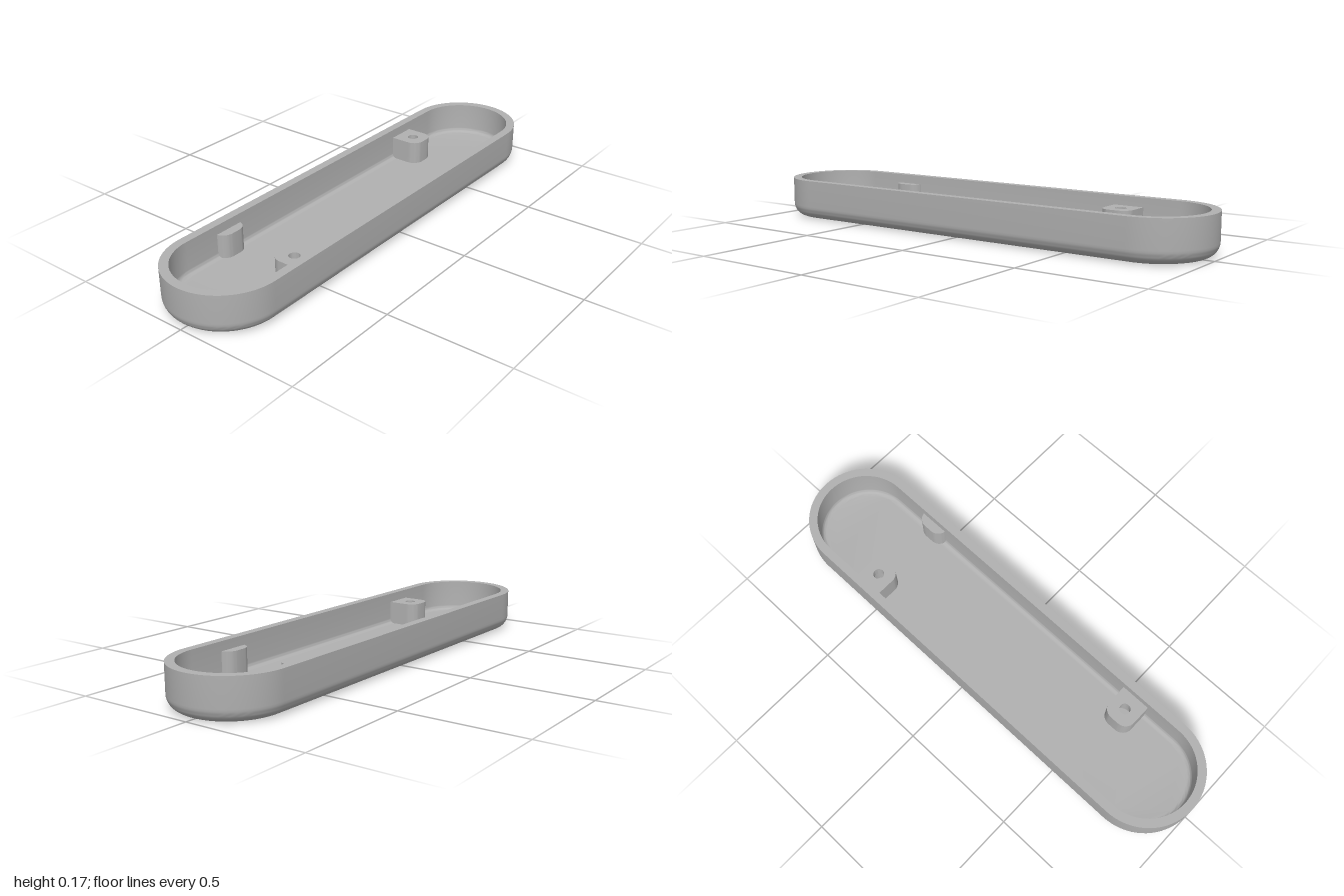
import * as THREE from 'three';
import { mergeGeometries, toCreasedNormals } from 'three/addons/utils/BufferGeometryUtils.js';

const HEIGHT = 0.168, RADIUS = 0.23, STRAIGHT = 0.77, WALL = 0.035;
const FILLET = 0.055, FLOOR = 0.033, INNER_FILLET = 0.02;
const BOSS_TOP = 0.13, HOLE_X = 0.13, HOLE_Z = 0.557;
const BORE_R = 0.042, SCREW_R = 0.022, BORE_TOP = 0.09;

// Points of an arc in plan (second coordinate is -z)
function arc(cx, cy, r, from, to, n) {
  return Array.from({ length: n + 1 }, (_, i) => {
    const a = from + ((to - from) * i) / n;
    return new THREE.Vector2(cx + r * Math.cos(a), cy + r * Math.sin(a));
  });
}

// Long plan outline with round ends
const stadium = (r) => [
  ...arc(0, STRAIGHT, r, 0, Math.PI, 36),
  ...arc(0, -STRAIGHT, r, Math.PI, 2 * Math.PI, 36),
];

// Plan outline of a block that grows from the +x wall to a rounded tip
function blockOutline(tip, r, z) {
  const h = 0.0625, y = -z;
  return [
    new THREE.Vector2(0.21, y - h),
    new THREE.Vector2(0.21, y + h),
    ...arc(tip + r, y + h - r, r, Math.PI / 2, Math.PI, 10),
    ...arc(tip + r, y - h + r, r, Math.PI, 1.5 * Math.PI, 10),
  ];
}

// Skin through closed loops given as [plan points, height]
function loft(loops) {
  const n = loops[0][0].length, pos = [], index = [];
  for (const [pts, y] of loops) for (const p of pts) pos.push(p.x, y, -p.y);
  for (let j = 0; j < loops.length - 1; j++) {
    for (let i = 0; i < n; i++) {
      const a = j * n + i, b = j * n + ((i + 1) % n);
      index.push(a, b, b + n, a, b + n, a + n);
    }
  }
  const g = new THREE.BufferGeometry();
  g.setAttribute('position', new THREE.Float32BufferAttribute(pos, 3));
  g.setIndex(index);
  return g;
}

// Flat face with round holes, facing up or down
function cap(points, y, holes, down = false) {
  const shape = new THREE.Shape(points);
  for (const [x, z, r] of holes) {
    shape.holes.push(new THREE.Path(arc(x, -z, r, 0, 2 * Math.PI, 32).slice(0, -1)));
  }
  const g = new THREE.ShapeGeometry(shape);
  g.rotateX(-Math.PI / 2).translate(0, y, 0);
  g.deleteAttribute('uv');
  g.deleteAttribute('normal');
  if (down) {
    const ix = g.index.array;
    for (let i = 0; i < ix.length; i += 3) [ix[i], ix[i + 1]] = [ix[i + 1], ix[i]];
  }
  return g;
}

export function createModel() {
  const model = new THREE.Group();
  model.name = 'tray';
  const grey = new THREE.MeshStandardMaterial({ color: 0xb0b0b0 });
  grey.name = 'plain grey';
  const add = (parent, name, parts) => {
    const mesh = new THREE.Mesh(toCreasedNormals(mergeGeometries(parts), 0.6), grey);
    mesh.name = name;
    parent.add(mesh);
  };

  // Tray: outer fillet, wall, rim, inner wall, inner fillet
  const profile = [];
  for (let i = 0; i <= 10; i++) {
    const a = (i / 10) * Math.PI / 2;
    profile.push([RADIUS - FILLET + FILLET * Math.sin(a), FILLET * (1 - Math.cos(a))]);
  }
  profile.push([RADIUS, HEIGHT], [RADIUS - WALL, HEIGHT]);
  const inner = RADIUS - WALL - INNER_FILLET;
  for (let i = 0; i <= 6; i++) {
    const a = (i / 6) * Math.PI / 2;
    profile.push([inner + INNER_FILLET * Math.cos(a), FLOOR + INNER_FILLET * (1 - Math.sin(a))]);
  }
  const bores = [[HOLE_X, HOLE_Z, BORE_R], [-HOLE_X, -HOLE_Z, BORE_R]];
  add(model, 'trayShell', [
    loft(profile.map(([r, y]) => [stadium(r), y])),
    cap(stadium(RADIUS - FILLET), 0, bores, true),
    cap(stadium(inner), FLOOR, bores),
  ]);

  // Each side has one screw boss and one small tab; the other side is a half turn
  for (const [side, turn] of [['left', 0], ['right', Math.PI]]) {
    const group = new THREE.Group();
    group.name = side + 'Fittings';
    group.rotation.y = turn;
    model.add(group);

    const boss = blockOutline(0.067, 0.045, HOLE_Z);
    add(group, side + 'ScrewBoss', [
      loft([[boss, FLOOR - 0.005], [boss, BOSS_TOP]]),
      cap(boss, BOSS_TOP, [[HOLE_X, HOLE_Z, SCREW_R]]),
    ]);

    // Stepped screw hole, wide from below
    const bore = new THREE.LatheGeometry([
      [SCREW_R, BOSS_TOP], [SCREW_R, BORE_TOP], [BORE_R, BORE_TOP], [BORE_R, 0],
    ].map(([r, y]) => new THREE.Vector2(r, y)), 32);
    bore.translate(HOLE_X, 0, HOLE_Z);
    add(group, side + 'ScrewHole', [bore]);

    const tab = blockOutline(0.157, 0.045, -HOLE_Z);
    add(group, side + 'Tab', [
      loft([[tab, FLOOR - 0.005], [tab, BOSS_TOP]]),
      cap(tab, BOSS_TOP, []),
    ]);
  }
  return model;
}
